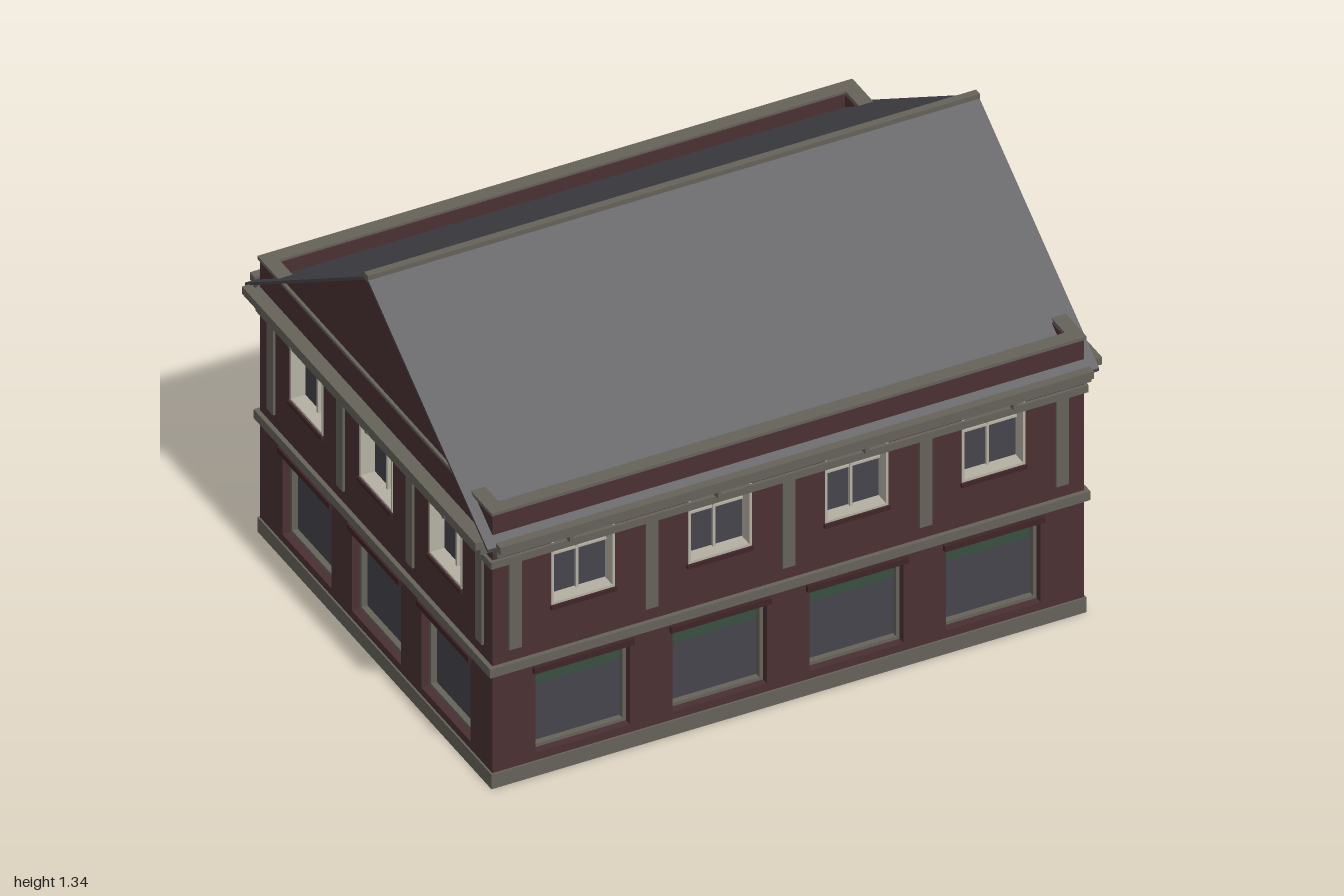
import * as THREE from 'three';

const paint = (name, color) => {
  const m = new THREE.MeshStandardMaterial({ color });
  m.name = name;
  return m;
};

export function createModel() {
  const brick = paint('brick', 0x4a3032);
  const darkBrick = paint('darkBrick', 0x3e2427);
  const stone = paint('stone', 0x65625a);
  const slate = paint('slate', 0x464449);
  const glass = paint('glass', 0x44444b);
  const green = paint('greenPanel', 0x37503f);
  const cream = paint('creamFrame', 0xb4b0a2);

  const model = new THREE.Group();
  model.name = 'cornerShopBuilding';

  const add = (parent, name, geometry, material) => {
    const mesh = new THREE.Mesh(geometry, material);
    mesh.name = name;
    parent.add(mesh);
    return mesh;
  };
  // Box given by its limits on each axis
  const box = (parent, name, mat, x0, x1, y0, y1, z0, z1) => {
    const g = new THREE.BoxGeometry(x1 - x0, y1 - y0, z1 - z0);
    g.translate((x0 + x1) / 2, (y0 + y1) / 2, (z0 + z1) / 2);
    return add(parent, name, g, mat);
  };
  const rect = (Type, x0, x1, y0, y1) => new Type([
    [x0, y0], [x1, y0], [x1, y1], [x0, y1],
  ].map(p => new THREE.Vector2(...p)));
  const extrude = (shape, depth) => new THREE.ExtrudeGeometry(shape, { depth, bevelEnabled: false });

  const T = 0.045; // wall thickness

  // Rim lining an opening; the sides listed in 'top' are optional
  const lining = (g, name, mat, x0, x1, y0, y1, w, z0, z1, top) => {
    box(g, name, mat, x0, x0 + w, y0, y1, z0, z1);
    box(g, name, mat, x1 - w, x1, y0, y1, z0, z1);
    box(g, name, mat, x0 + w, x1 - w, y0, y0 + w, z0, z1);
    if (top) box(g, name, mat, x0 + w, x1 - w, y1 - w, y1, z0, z1);
  };

  const shopWindow = (g, c) => {
    box(g, 'shopGlass', glass, c - 0.16, c + 0.16, 0.07, 0.28, -T - 0.008, -T + 0.001);
    box(g, 'shopTopPanel', green, c - 0.16, c + 0.16, 0.28, 0.37, -T - 0.008, -T + 0.003);
    lining(g, 'shopFrame', stone, c - 0.151, c + 0.151, 0.075, 0.36, 0.012, -T, -T + 0.02, false);
    box(g, 'shopLintel', darkBrick, c - 0.16, c + 0.16, 0.355, 0.375, -0.02, 0.012);
  };

  const entrance = (g, c) => {
    const s = rect(THREE.Shape, c - 0.288, c + 0.288, 0.05, 0.362);
    s.holes.push(rect(THREE.Path, c - 0.145, c + 0.145, 0.08, 0.33));
    const geo = extrude(s, T + 0.006);
    geo.translate(0, 0, -T);
    add(g, 'entranceSurround', geo, stone);
    box(g, 'entranceGlass', glass, c - 0.16, c + 0.16, 0.07, 0.34, -T - 0.008, -T + 0.002);
  };

  const upperWindow = (g, c) => {
    const y0 = 0.57, y1 = 0.82;
    box(g, 'upperGlass', glass, c - 0.1, c + 0.1, y0, y1, -T - 0.008, -T + 0.001);
    lining(g, 'upperFrame', cream, c - 0.101, c + 0.101, y0 - 0.001, y1, 0.008, -T, 0.002, true);
    box(g, 'mullion', cream, c - 0.004, c + 0.004, y0, y1, -T, -T + 0.012);
    box(g, 'glazingBar', cream, c - 0.095, c + 0.095, 0.711, 0.718, -T, -T + 0.01);
    box(g, 'upperSill', darkBrick, c - 0.105, c + 0.105, 0.556, 0.569, -0.02, 0.009);
  };

  // One facade, facing +z with its outer surface at local z = 0
  const facade = (name, width, bays, spacing, brackets, door) => {
    const g = new THREE.Group();
    g.name = name;
    const h = width / 2;
    const wall = rect(THREE.Shape, -h, h, 0, 0.94);
    for (let i = 0; i < bays; i++) {
      const c = (i - (bays - 1) / 2) * spacing;
      wall.holes.push(rect(THREE.Path, c - 0.15, c + 0.15, 0.076, 0.36));
      wall.holes.push(rect(THREE.Path, c - 0.1, c + 0.1, 0.57, 0.82));
      if (i === door) entrance(g, c); else shopWindow(g, c);
      upperWindow(g, c);
    }
    const geo = extrude(wall, T);
    geo.translate(0, 0, -T);
    add(g, 'wall', geo, brick);

    // Pilasters between the upper windows
    for (let i = 0; i <= bays; i++) {
      const c = (i - bays / 2) * spacing;
      box(g, 'pilaster', stone, c - 0.02, c + 0.02, 0.46, 0.765, -0.01, 0.007);
    }
    // Horizontal stone courses
    box(g, 'plinth', stone, -h - 0.006, h + 0.006, 0, 0.05, -0.01, 0.006);
    box(g, 'stringCourse', stone, -h - 0.013, h + 0.013, 0.388, 0.418, -0.01, 0.014);
    box(g, 'upperCourse', stone, -h - 0.009, h + 0.009, 0.758, 0.782, -0.01, 0.01);
    box(g, 'coping', stone, -h - 0.005, h + 0.005, 0.938, 0.948, -T + 0.005, 0.006);
    // Stepped cornice with brackets
    box(g, 'cornice', stone, -h - 0.004, h + 0.004, 0.815, 0.843, -0.01, 0.04);
    box(g, 'corniceLip', stone, -h - 0.004, h + 0.004, 0.835, 0.86, 0.028, 0.056);
    for (const b of brackets) {
      box(g, 'bracket', stone, b - 0.006, b + 0.006, 0.79, 0.82, -0.005, 0.034);
    }
    model.add(g);
    return g;
  };

  const longBrackets = [-0.705, -0.235, 0.235, 0.705];
  const shortBrackets = [-0.47, 0, 0.47];
  facade('frontFacade', 1.88, 4, 0.435, longBrackets, -1).position.z = 0.71;
  const back = facade('backFacade', 1.88, 4, 0.435, longBrackets, 1);
  back.rotation.y = Math.PI;
  back.position.z = -0.71;
  for (const s of [1, -1]) {
    const side = facade(s > 0 ? 'leftFacade' : 'rightFacade', 1.42, 3, 0.425, shortBrackets, -1);
    side.rotation.y = s * Math.PI / 2;
    side.position.x = s * 0.94;
  }

  // Floor slab inside the walls
  box(model, 'floor', stone, -0.9, 0.9, 0.001, 0.03, -0.67, 0.67);

  // Gable walls under the roof ends
  const gableShape = new THREE.Shape([[-0.66, 0.88], [0.66, 0.88], [0, 1.318]].map(p => new THREE.Vector2(...p)));
  for (const s of [1, -1]) {
    const geo = extrude(gableShape, 0.03);
    geo.translate(0, 0, -0.015);
    geo.rotateY(Math.PI / 2);
    add(model, 'gable', geo, brick).position.x = s * 0.921;
  }

  // Pitched roof as a thin chevron, then its ridge cap
  const roofShape = new THREE.Shape([
    [-0.742, 0.838], [0, 1.318], [0.742, 0.838], [0.742, 0.848], [0, 1.33], [-0.742, 0.848],
  ].map(p => new THREE.Vector2(...p)));
  const roof = extrude(roofShape, 1.944);
  roof.translate(0, 0, -0.972);
  roof.rotateY(Math.PI / 2);
  add(model, 'roof', roof, slate);
  box(model, 'ridgeCap', stone, -0.973, 0.973, 1.316, 1.338, -0.012, 0.012);

  return model;
}
